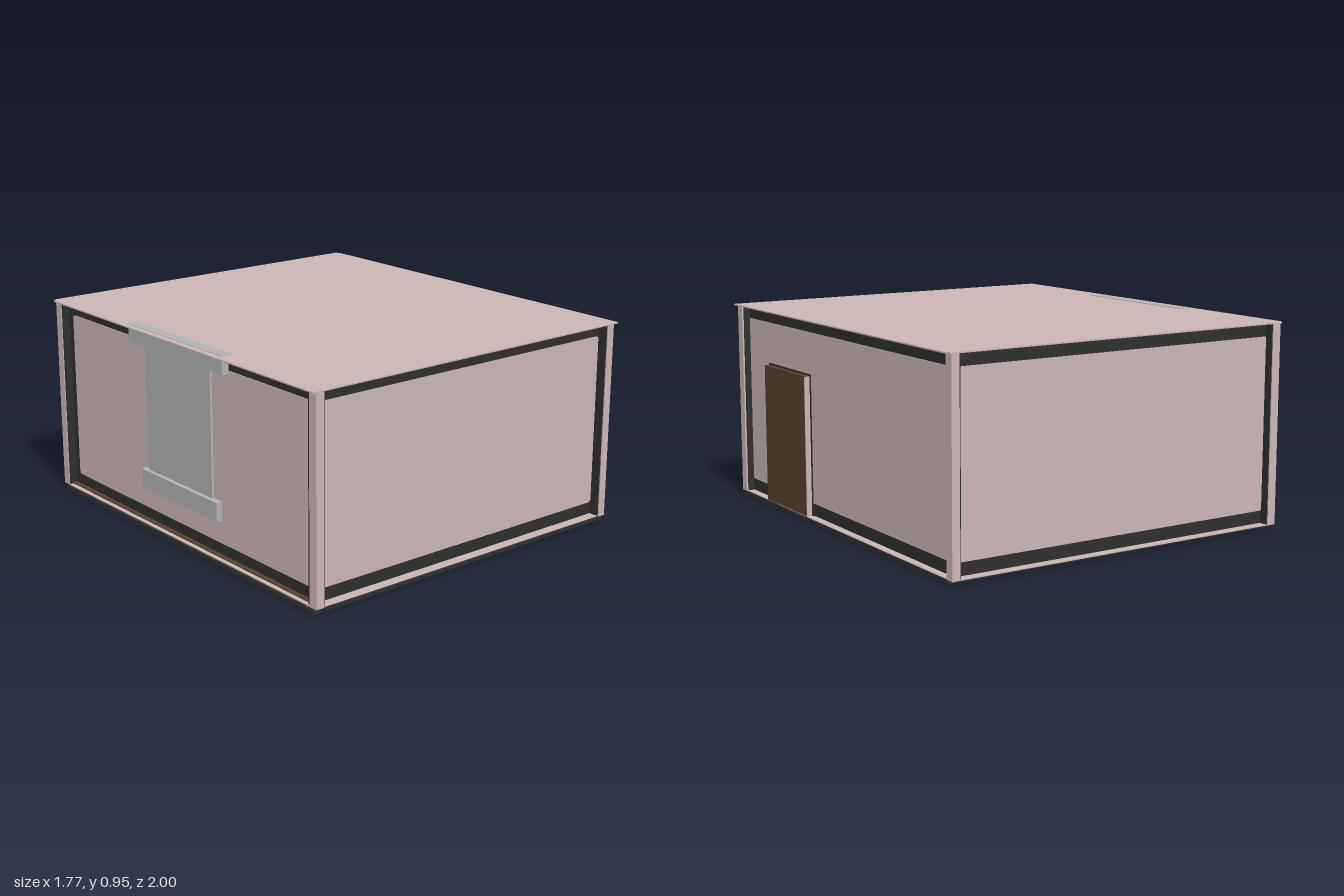
import * as THREE from 'three';

const mat = (name, color) => {
  const m = new THREE.MeshStandardMaterial({ color });
  m.name = name;
  return m;
};

export function createModel() {
  const pink = mat('dustyPink', 0xcbb5b5);
  const dark = mat('charcoal', 0x2d2f2d);
  const brown = mat('doorBrown', 0x57412c);
  const grey = mat('windowGrey', 0xafb3b1);
  const room = new THREE.Group();
  room.name = 'room';

  // Box given by its lower and upper corners
  const box = (name, material, [x0, y0, z0], [x1, y1, z1], parent = room) => {
    const mesh = new THREE.Mesh(new THREE.BoxGeometry(x1 - x0, y1 - y0, z1 - z0), material);
    mesh.position.set((x0 + x1) / 2, (y0 + y1) / 2, (z0 + z1) / 2);
    mesh.name = name;
    parent.add(mesh);
    return mesh;
  };

  // Rounded panel face between u0..u1 across and y0..y1 up, facing +z
  const panelGeometry = (u0, u1, y0, y1, r = 0.015) => {
    const s = new THREE.Shape();
    s.moveTo(u0 + r, y0);
    s.lineTo(u1 - r, y0);
    s.quadraticCurveTo(u1, y0, u1, y0 + r);
    s.lineTo(u1, y1 - r);
    s.quadraticCurveTo(u1, y1, u1 - r, y1);
    s.lineTo(u0 + r, y1);
    s.quadraticCurveTo(u0, y1, u0, y1 - r);
    s.lineTo(u0, y0 + r);
    s.quadraticCurveTo(u0, y0, u0 + r, y0);
    return new THREE.ExtrudeGeometry(s, { depth: 0.004, bevelEnabled: false });
  };

  // Recessed wall: dark frame sheet with a pink panel on its outer face
  const wall = (name, angle, dist, outer, inner) => {
    const g = new THREE.Group();
    g.name = name;
    box('darkFrame', dark, [outer[0], 0.02, dist - 0.006], [outer[1], 0.945, dist], g);
    const panel = new THREE.Mesh(panelGeometry(inner[0], inner[1], 0.083, 0.884), pink);
    panel.position.z = dist;
    panel.name = 'wallPanel';
    g.add(panel);
    g.rotation.y = angle;
    room.add(g);
  };
  wall('frontWall', 0, 0.94, [-0.858, 0.862], [-0.82, 0.82]);
  wall('backWall', Math.PI, 0.955, [-0.862, 0.858], [-0.82, 0.82]);
  wall('rightSideWall', Math.PI / 2, 0.83, [-0.985, 0.995], [-0.93, 0.91]);
  wall('leftSideWall', -Math.PI / 2, 0.82, [-0.995, 0.985], [-0.91, 0.93]);

  // Floor slab, pink sill and roof
  box('floorSlab', dark, [-0.875, 0, -0.955], [0.862, 0.02, 0.985]);
  box('sill', pink, [-0.862, 0.02, -0.998], [0.866, 0.024, 0.985]);
  box('roof', pink, [-0.885, 0.944, -0.98], [0.885, 0.95, 1]);
  box('roofBackEdge', pink, [-0.87, 0.944, -1], [0.875, 0.95, -0.98]);
  box('leftFloorEdge', brown, [-0.842, 0.024, -0.95], [-0.82, 0.03, 0.93]);

  // Corner strips: one facing front or back, one facing the side
  for (const [xIn, xOut] of [[-0.82, -0.862], [0.83, 0.868]]) {
    for (const [zIn, zOut] of [[0.945, 0.99], [-0.955, -0.999]]) {
      const xs = [xIn, xOut].sort((a, b) => a - b);
      const zs = [zIn, zOut].sort((a, b) => a - b);
      const zFace = zOut - Math.sign(zOut) * 0.004;
      const xFace = xOut - Math.sign(xOut) * 0.004;
      box('cornerStripEnd', pink, [xs[0], 0.02, Math.min(zOut, zFace)], [xs[1], 0.945, Math.max(zOut, zFace)]);
      box('cornerStripSide', pink, [Math.min(xOut, xFace), 0.02, zs[0]], [Math.max(xOut, xFace), 0.945, zs[1]]);
    }
  }

  // Door with pink jamb sides and a dark surround
  box('doorSurround', dark, [0.83, 0.024, 0.283], [0.838, 0.69, 0.717]);
  box('door', brown, [0.83, 0.022, 0.294], [0.866, 0.682, 0.706]);
  for (const z of [0.291, 0.706]) box('doorJamb', pink, [0.83, 0.022, z], [0.864, 0.68, z + 0.003]);

  // Window on the left side: pane, header and ledge
  box('windowPane', grey, [-0.835, 0.22, -0.27], [-0.82, 0.9, 0.23]);
  box('windowHeader', grey, [-0.855, 0.87, -0.37], [-0.8, 0.952, 0.35]);
  box('windowLedge', grey, [-0.855, 0.19, -0.3], [-0.815, 0.28, 0.29]);

  return room;
}
